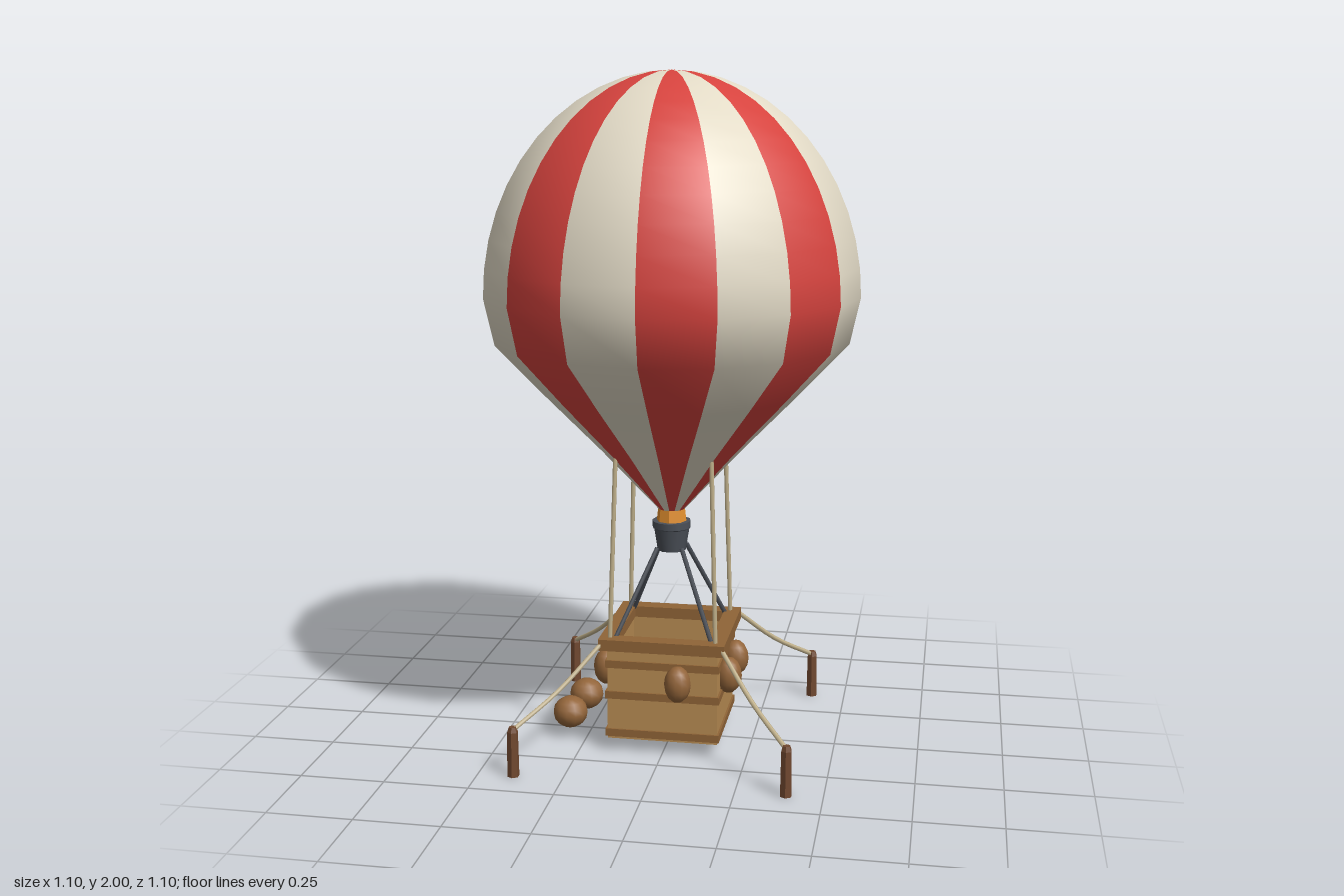
import * as THREE from 'three';

const mat = (name, color, side = THREE.FrontSide, flatShading = false) => {
  const m = new THREE.MeshStandardMaterial({ color, side, flatShading });
  m.name = name;
  return m;
};

export function createModel() {
  const red = mat('red fabric', 0xd6433e, THREE.DoubleSide);
  const cream = mat('cream fabric', 0xe2dac6, THREE.DoubleSide);
  const wicker = mat('wicker', 0xb78b52);
  const darkWicker = mat('dark wicker', 0x8f6437);
  const sack = mat('sack', 0x93653a);
  const wood = mat('dark wood', 0x70482f, THREE.FrontSide, true);
  const rope = mat('rope', 0xc4b48e);
  const metal = mat('burner metal', 0x4b5058);
  const orange = mat('orange', 0xe3902f, THREE.DoubleSide, true);

  const model = new THREE.Group();
  const add = (name, geometry, material, x = 0, y = 0, z = 0) => {
    const mesh = new THREE.Mesh(geometry, material);
    mesh.name = name;
    mesh.position.set(x, y, z);
    model.add(mesh);
    return mesh;
  };
  const tube = (name, points, radius, material) => {
    const curve = new THREE.CatmullRomCurve3(points.map(p => new THREE.Vector3(...p)));
    return add(name, new THREE.TubeGeometry(curve, points.length > 2 ? 8 : 1, radius, 6), material);
  };

  // Envelope: straight lower cone running into an elliptical dome, 16 striped gores
  const profile = [[0.04, 0.715], [0.21, 0.9], [0.375, 1.07], [0.52, 1.225]]
    .map(p => new THREE.Vector2(...p));
  const domeSteps = 12;
  for (let i = 0; i <= domeSteps; i++) {
    const a = (i / domeSteps) * Math.PI / 2;
    profile.push(new THREE.Vector2(i === domeSteps ? 0 : 0.55 * Math.cos(a), 1.36 + 0.64 * Math.sin(a)));
  }
  const gores = 16;
  const envelope = new THREE.LatheGeometry(profile, gores);
  const perGore = (profile.length - 1) * 6;
  for (let i = 0; i < gores; i++) envelope.addGroup(i * perGore, perGore, i % 2);
  add('envelope', envelope, [red, cream]);

  // Throat and burner
  add('throat', new THREE.CylinderGeometry(0.04, 0.046, 0.055, 8, 1, true), orange, 0, 0.695, 0);
  const burner = [[0, 0.588], [0.043, 0.588], [0.043, 0.588], [0.054, 0.655], [0.054, 0.655],
    [0.058, 0.658], [0.058, 0.658], [0.058, 0.678], [0.058, 0.678], [0, 0.678]];
  add('burner', new THREE.LatheGeometry(burner.map(p => new THREE.Vector2(...p)), 12), metal);

  // Square ring, with its base at height y
  const frame = (name, outer, inner, y, height, material) => {
    const square = (P, h) => new P([[-h, -h], [h, -h], [h, h], [-h, h]].map(p => new THREE.Vector2(...p)));
    const shape = square(THREE.Shape, outer);
    shape.holes.push(square(THREE.Path, inner));
    const g = new THREE.ExtrudeGeometry(shape, { depth: height, bevelEnabled: false });
    g.rotateX(-Math.PI / 2);
    add(name, g, material, 0, y, 0);
  };

  // Basket
  frame('basketWalls', 0.165, 0.145, 0.04, 0.285, wicker);
  add('basketFloor', new THREE.BoxGeometry(0.3, 0.025, 0.3), wicker, 0, 0.0525, 0);
  frame('basketRim', 0.188, 0.14, 0.32, 0.034, darkWicker);
  for (const y of [0.048, 0.166, 0.262]) frame('basketBand', 0.171, 0.16, y, 0.023, darkWicker);

  // Corner rigging: ropes, burner struts, anchor ropes and weights
  for (const sx of [-1, 1]) for (const sz of [-1, 1]) {
    const at = (h, y) => [sx * h, y, sz * h];
    tube('suspensionRope', [at(0.158, 0.34), at(0.141, 0.9)], 0.007, rope);
    tube('burnerStrut', [at(0.147, 0.34), at(0.037, 0.6)], 0.007, metal);
    tube('anchorRope', [at(0.182, 0.337), at(0.285, 0.225), at(0.394, 0.14)], 0.007, rope);
    add('anchorPost', new THREE.CylinderGeometry(0.016, 0.018, 0.135, 6), wood, sx * 0.395, 0.0675, sz * 0.395);
    add('anchorCap', new THREE.CylinderGeometry(0.011, 0.016, 0.015, 6), wood, sx * 0.395, 0.1425, sz * 0.395);
  }

  // Sandbags hanging on the basket and lying on the ground
  const bag = (name, x, y, z, rx, ry, rz) =>
    add(name, new THREE.SphereGeometry(1, 12, 8).scale(rx, ry, rz), sack, x, y, z);
  for (const [x, z] of [[0.05, 0.187], [0.187, 0.08], [0.187, -0.075], [-0.187, 0.07]])
    bag('hangingSandbag', x, 0.23, z, 0.04, 0.055, 0.04);
  bag('groundSandbag', -0.302, 0.076, 0.068, 0.053, 0.048, 0.053);
  bag('groundSandbag', -0.287, 0.076, -0.09, 0.053, 0.048, 0.053);

  return model;
}
